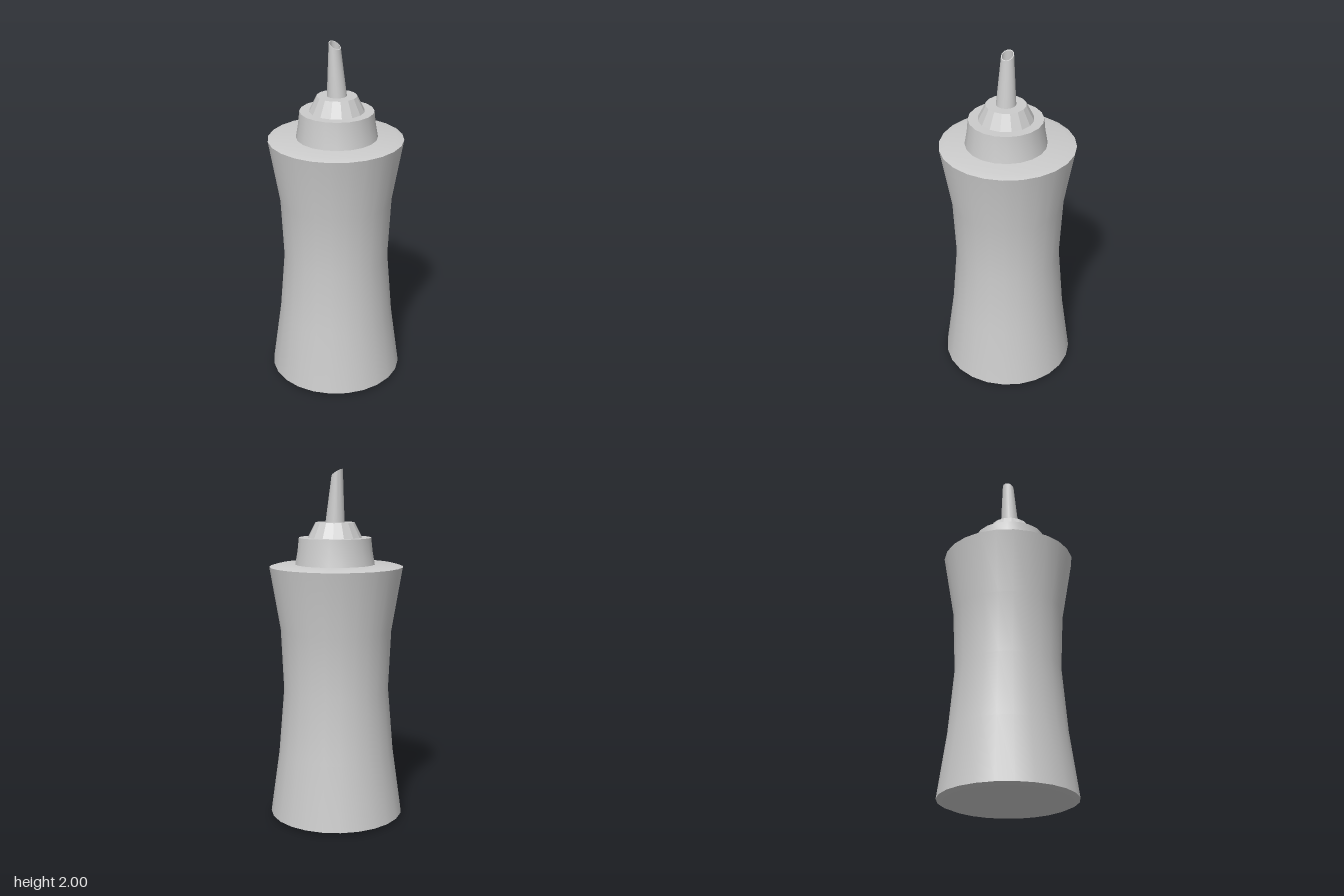
import * as THREE from 'three';
import { toCreasedNormals } from 'three/addons/utils/BufferGeometryUtils.js';

const material = new THREE.MeshStandardMaterial({ color: 0xcccccc });

// Turned part from [radius, height] pairs, listed from the bottom up
function turned(name, profile, sides, crease = 0.55, bend) {
  const geometry = new THREE.LatheGeometry(profile.map(([r, y]) => new THREE.Vector2(r, y)), sides);
  if (bend) bend(geometry.attributes.position);
  const mesh = new THREE.Mesh(toCreasedNormals(geometry, crease), material);
  mesh.name = name;
  return mesh;
}

export function createModel() {
  const model = new THREE.Group();
  model.name = 'squeezeBottle';

  // Waisted body with narrow bevels at the base and shoulder
  model.add(turned('body', [
    [0, 0], [0.35, 0], [0.384, 0.014], [0.333, 0.38], [0.302, 0.75],
    [0.318, 1.1], [0.379, 1.458], [0.337, 1.47], [0, 1.47],
  ], 24));

  // Cap parts sit slightly off the body's axis
  const cap = new THREE.Group();
  cap.name = 'cap';
  cap.position.set(0.01, 0, 0.004);
  model.add(cap);

  cap.add(turned('capCollar', [
    [0.228, 1.465], [0.213, 1.55], [0.206, 1.62], [0, 1.62],
  ], 20));

  cap.add(turned('capCone', [
    [0.156, 1.615], [0.111, 1.705], [0, 1.705],
  ], 16, 0.3));

  // Hollow spout: tapers, leans to one side and ends in a slanted cut
  const base = 1.7, height = 0.28;
  cap.add(turned('spout', [
    [0.055, base], [0.036, base + height], [0.031, base + height], [0.048, base],
  ], 20, 0.55, (p) => {
    for (let i = 0; i < p.count; i++) {
      const t = (p.getY(i) - base) / height;
      const x = p.getX(i) * (1 - 0.14 * t);
      p.setX(i, x - 0.014 * t);
      p.setY(i, p.getY(i) - 0.645 * x * t);
    }
  }));

  return model;
}
